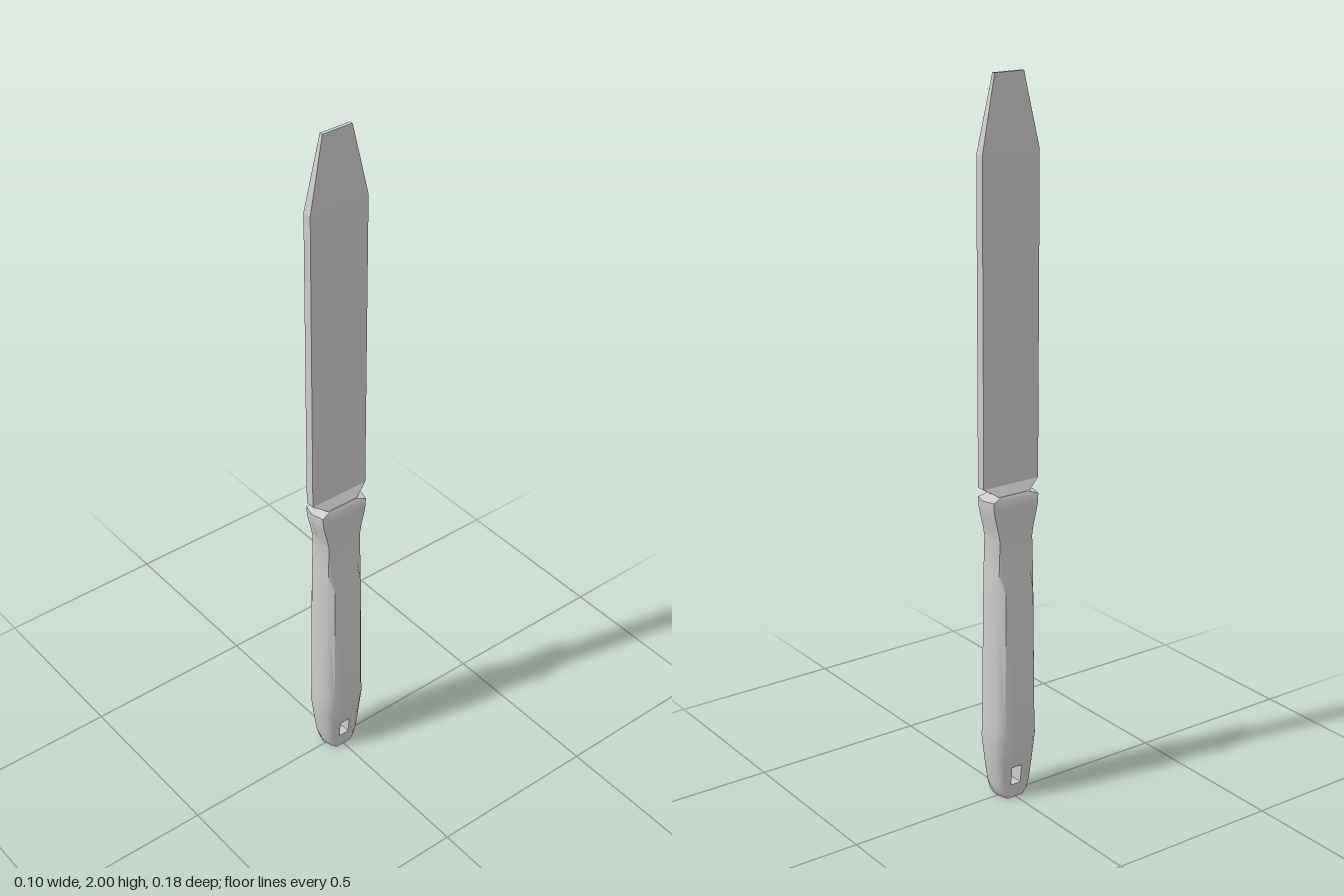
import * as THREE from 'three';
import { toCreasedNormals } from 'three/addons/utils/BufferGeometryUtils.js';

const material = new THREE.MeshStandardMaterial({ color: 0xcccccc });

// Skins a stack of closed rings; skip(ring, segment) leaves gaps, extra quads can line them.
function loft(rings, { skip = () => false, extra = [], crease = 0.9 } = {}) {
  const out = [];
  const tri = (...pts) => pts.forEach((p) => out.push(...p));
  const quad = (a, b, c, d) => { tri(a, b, c); tri(a, c, d); };
  const n = rings[0].length;
  for (let k = 0; k < rings.length - 1; k++) {
    for (let i = 0; i < n; i++) {
      const j = (i + 1) % n;
      if (!skip(k, i)) quad(rings[k][i], rings[k + 1][i], rings[k + 1][j], rings[k][j]);
    }
  }
  const low = rings[0], high = rings[rings.length - 1];
  for (let i = 1; i < n - 1; i++) {
    tri(low[0], low[i], low[i + 1]);
    tri(high[0], high[i + 1], high[i]);
  }
  extra.forEach((q) => quad(...q));
  const geometry = new THREE.BufferGeometry();
  geometry.setAttribute('position', new THREE.Float32BufferAttribute(out, 3));
  return toCreasedNormals(geometry, crease);
}

// Handle section: flat sides at x = X (out to z = a), shoulder (b, c), ridge at z = Z.
const HOLE = 0.016;
function handleRing([y, X, a, b, c, Z]) {
  const half = [[X, HOLE], [X, a], [b, c], [0, Z], [-b, c], [-X, a], [-X, HOLE]];
  return [...half, ...half.map(([x, z]) => [-x, -z])].map(([x, z]) => [x, y, z]);
}

function makeHandle() {
  const rings = [
    [0.00, 0.034, 0.025, 0.025, 0.031, 0.036],
    [0.012, 0.035, 0.032, 0.028, 0.042, 0.049],
    [0.04, 0.035, 0.038, 0.029, 0.050, 0.058],
    [0.095, 0.041, 0.042, 0.030, 0.058, 0.065],
    [0.18, 0.052, 0.047, 0.035, 0.066, 0.075],
    [0.22, 0.052, 0.047, 0.035, 0.064, 0.073],
    [0.62, 0.052, 0.045, 0.035, 0.058, 0.066],
    [0.675, 0.037, 0.045, 0.036, 0.056, 0.063],
    [0.77, 0.036, 0.045, 0.036, 0.053, 0.060],
    [0.80, 0.036, 0.045, 0.036, 0.058, 0.066],
    [0.84, 0.036, 0.045, 0.036, 0.068, 0.077],
    [0.86, 0.036, 0.045, 0.036, 0.072, 0.081],
    [0.885, 0.036, 0.045, 0.036, 0.073, 0.083],
    [0.895, 0.030, 0.030, 0.030, 0.042, 0.042],
  ].map(handleRing);
  // Hanging hole runs through both flat sides
  const [lo, hi] = [rings[2], rings[3]];
  const tunnel = [
    [lo[13], lo[7], lo[6], lo[0]],
    [hi[13], hi[0], hi[6], hi[7]],
    [lo[0], lo[6], hi[6], hi[0]],
    [lo[7], lo[13], hi[13], hi[7]],
  ];
  return loft(rings, { skip: (k, i) => k === 2 && (i === 6 || i === 13), extra: tunnel });
}

// Rectangular blade sections: flared root, parallel body, tapered square tip
function makeBlade() {
  const rings = [
    [0.89, 0.030, 0.042],
    [0.92, 0.013, 0.089],
    [1.80, 0.013, 0.089],
    [2.00, 0.005, 0.045],
  ].map(([y, x, z]) => [[x, y, -z], [x, y, z], [-x, y, z], [-x, y, -z]]);
  return loft(rings, { crease: 0.02 });
}

export function createModel() {
  const group = new THREE.Group();
  group.name = 'knife';
  for (const [name, geometry] of [['handle', makeHandle()], ['blade', makeBlade()]]) {
    const mesh = new THREE.Mesh(geometry, material);
    mesh.name = name;
    group.add(mesh);
  }
  return group;
}
